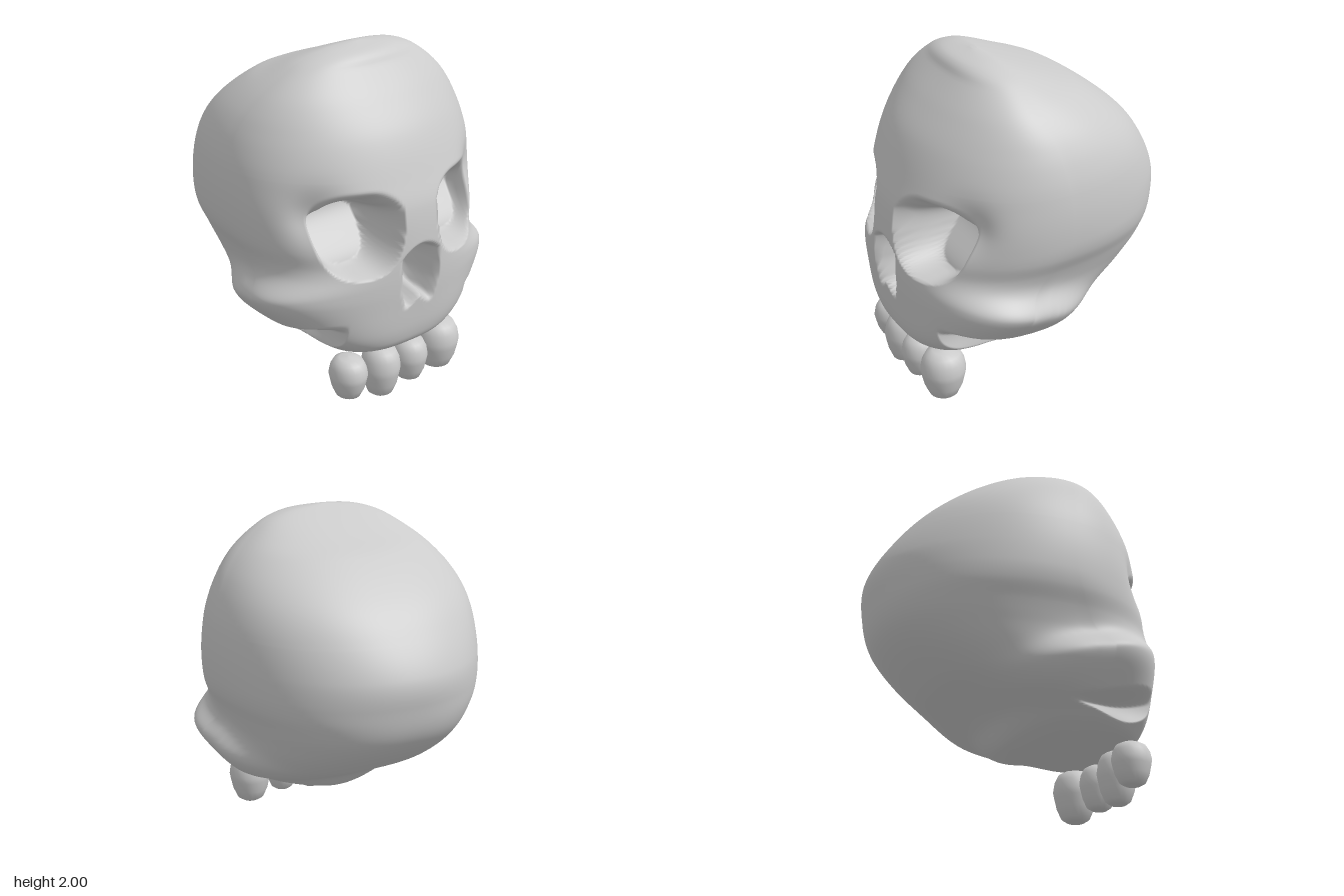
import * as THREE from 'three';

const { lerp, clamp } = THREE.MathUtils;
const ramp = (a, b, v) => {
  const t = clamp((v - a) / (b - a), 0, 1);
  return t * t * (3 - 2 * t);
};

// Smooth curve through [position, value] pairs
function profile(keys) {
  const slope = (i) => {
    const a = keys[Math.max(i - 1, 0)], b = keys[Math.min(i + 1, keys.length - 1)];
    return (b[1] - a[1]) / (b[0] - a[0]);
  };
  return (v) => {
    let i = 0;
    while (i < keys.length - 2 && v > keys[i + 1][0]) i++;
    const [x0, y0] = keys[i], [x1, y1] = keys[i + 1];
    const h = x1 - x0, t = clamp((v - x0) / h, 0, 1), t2 = t * t, t3 = t2 * t;
    return y0 * (2 * t3 - 3 * t2 + 1) + y1 * (3 * t2 - 2 * t3)
      + h * (slope(i) * (t3 - 2 * t2 + t) + slope(i + 1) * (t3 - t2));
  };
}

// Height profiles: half width, front edge, back edge and depth of the widest point
const halfWidth = profile([[0.27, 0.3], [0.285, 0.385], [0.31, 0.44], [0.35, 0.48], [0.42, 0.54], [0.5, 0.585],
  [0.6, 0.625], [0.7, 0.66], [0.8, 0.685], [0.9, 0.72], [1, 0.765], [1.1, 0.785], [1.25, 0.79], [1.4, 0.775],
  [1.5, 0.75], [1.6, 0.71], [1.7, 0.65], [1.8, 0.56], [1.9, 0.43], [1.95, 0.33], [1.985, 0.19], [2, 0.02]]);
const frontZ = profile([[0.27, 0.62], [0.285, 0.71], [0.31, 0.765], [0.4, 0.8], [0.65, 0.83], [0.8, 0.84],
  [1, 0.84], [1.2, 0.82], [1.33, 0.78], [1.58, 0.68], [1.75, 0.56], [1.9, 0.43], [1.97, 0.37], [2, 0.25]]);
const backZ = profile([[0.27, 0.1], [0.3, 0], [0.42, -0.14], [0.6, -0.48], [0.83, -0.75], [1.07, -0.835],
  [1.23, -0.835], [1.46, -0.7], [1.62, -0.55], [1.8, -0.3], [1.86, -0.15], [1.95, 0.08], [2, 0.22]]);
const middleZ = profile([[0.27, 0.3], [0.5, 0.3], [0.7, 0.3], [0.85, 0.2], [1.1, 0.08], [1.6, 0.12],
  [1.85, 0.2], [2, 0.235]]);

// Squareness of the front and back halves (2 is an ellipse)
const frontSquare = profile([[0.27, 2.8], [0.5, 2.7], [0.7, 2.2], [0.9, 2.1], [1.15, 2.15], [1.35, 2.1],
  [1.6, 2.05], [1.85, 2.25], [2, 2.2]]);
const backSquare = profile([[0.27, 2.3], [0.6, 2.6], [0.85, 2.4], [1.2, 2.05], [1.6, 2.35], [2, 2.35]]);

// How far a point lies inside an eye socket, 0 to 1; the brow slopes in, the lower rim is steep
function eyeSocket(x, y) {
  const dy = (y - 1.1) / 0.24;
  const dx = (x - 0.345) / (0.215 + 0.025 * clamp(dy, -1, 0.5));
  const e = (Math.abs(dx) ** 2.8 + Math.abs(dy) ** 2.8) ** (1 / 2.8);
  const inner = lerp(0.88, 0.25, ramp(-0.1, 0.7, dy) * (1 - ramp(0.6, 1.1, Math.abs(dx))));
  return ramp(1.03, inner, e);
}

// Nose opening: pointed top, two lobes at the bottom with a spike between
function noseOpening(x, y) {
  const w = y < 0.93 ? lerp(0.1, 0.135, ramp(0.58, 0.78, y)) : 0.135 * Math.sqrt(clamp((1.01 - y) / 0.08, 0, 1));
  const bottom = 0.68 - 0.08 * Math.min(1, x / 0.085);
  return ramp(0, 0.065, w - x) * ramp(0, 0.05, y - bottom) * ramp(1.01, 0.84, y);
}

// Point on the left half of the skull: a runs from front (0) to back (PI)
function skullPoint(a, y) {
  const s = Math.max(Math.sin(a), 0), c = Math.cos(a), mid = middleZ(y);
  const power = 2 / (c > 0 ? frontSquare(y) : backSquare(y));
  let x = halfWidth(y) * s ** power;
  let z = mid + ((c > 0 ? frontZ(y) : backZ(y)) - mid) * Math.abs(c) ** power;

  // Cheekbone sweeping down to the back, fuller below its ridge
  const d = y - 0.7 - 0.25 * (z - 0.45);
  const spread = d / (d > 0 ? 0.105 : 0.2);
  x *= 1 + 0.19 * Math.exp(-spread * spread) * ramp(-0.4, 0.15, z);

  // Hollow beneath the cheekbone, fading towards the back
  const arch = 0.4 + 0.26 * (z + 0.02);
  const under = ramp(0, 0.07, arch - y) * ramp(-0.06, 0.2, z);
  const jaw = 0.43 + 0.02 * ramp(0.5, 0.3, y) + 0.12 * ramp(0.6, 0.05, z);
  x = lerp(x, Math.min(x, jaw), under);

  // Sockets, their back walls leaning away towards the top, with the outer rims swept back
  if (c > 0) {
    z -= 0.08 * Math.exp(-(((x - 0.55) / 0.12) ** 2) - ((y - 1.2) / 0.14) ** 2);
    const eyeBack = lerp(0.6, 0.4, ramp(0.85, 1.17, y));
    const noseBack = lerp(0.64, 0.5, ramp(0.6, 0.88, y));
    z = lerp(z, Math.min(z, eyeBack), eyeSocket(x, y));
    z = lerp(z, Math.min(z, noseBack), noseOpening(x, y));
  }
  // Underside rises towards the teeth and the sides
  const rise = 0.045 * ramp(0.15, 0.6, z) + 0.06 * ramp(0, 0.45, x) * ramp(0.65, 0.3, z);
  return [x, y + rise * ramp(0.5, 0.27, y), z];
}

function skullGeometry() {
  const front = 84, back = 26, half = front + back, around = half * 2;
  const heights = [];
  for (let i = 0; i < 115; i++) heights.push(lerp(0.27, 1.4, i / 115));
  for (let i = 0; i <= 36; i++) heights.push(1.4 + 0.6 * Math.sin((i / 36) * Math.PI / 2));

  const positions = [], index = [];
  for (const y of heights) {
    for (let j = 0; j < around; j++) {
      const k = j <= half ? j : around - j;
      const a = k <= front ? (k / front) * Math.PI / 2 : (1 + (k - front) / back) * Math.PI / 2;
      const [x, py, z] = skullPoint(a, y);
      positions.push(j <= half ? x : -x, py, z);
    }
  }
  const rows = heights.length;
  const bottom = rows * around, top = bottom + 1, last = (rows - 1) * around;
  positions.push(0, 0.275, 0.3, 0, 2, 0.235);
  for (let j = 0; j < around; j++) {
    const n = (j + 1) % around;
    for (let i = 0; i < rows - 1; i++) {
      const p = i * around, q = p + around;
      index.push(p + j, p + n, q + n, p + j, q + n, q + j);
    }
    index.push(bottom, n, j, top, last + j, last + n);
  }
  const geometry = new THREE.BufferGeometry();
  geometry.setAttribute('position', new THREE.Float32BufferAttribute(positions, 3));
  geometry.setIndex(index);
  geometry.computeVertexNormals();
  return geometry;
}

// Rounded peg of unit height and unit half width
function toothGeometry() {
  const points = [[0, 0], [0.4, 0.015], [0.64, 0.08], [0.84, 0.27], [0.95, 0.48], [1, 0.6], [0.92, 0.78],
    [0.75, 0.92], [0.45, 0.99], [0, 1.01]].map(([r, y]) => new THREE.Vector2(r, y));
  return new THREE.LatheGeometry(points, 20);
}

export function createModel() {
  const group = new THREE.Group();
  group.name = 'skull';
  const material = new THREE.MeshStandardMaterial({ color: 0xcccccc });

  const cranium = new THREE.Mesh(skullGeometry(), material);
  cranium.name = 'cranium';
  group.add(cranium);

  // Uneven teeth: x, bottom, top, half width, z, half depth
  const teeth = new THREE.Group();
  teeth.name = 'teeth';
  const geometry = toothGeometry();
  [
    [-0.352, 0.055, 0.31, 0.108, 0.64, 0.12],
    [-0.14, 0.005, 0.325, 0.115, 0.67, 0.12],
    [0.075, 0.03, 0.305, 0.108, 0.67, 0.115],
    [0.315, 0.015, 0.335, 0.132, 0.645, 0.135],
  ].forEach(([x, low, high, w, z, d], i) => {
    const tooth = new THREE.Mesh(geometry, material);
    tooth.name = `tooth${i + 1}`;
    tooth.position.set(x, low, z);
    tooth.scale.set(w, high - low, d);
    teeth.add(tooth);
  });
  group.add(teeth);
  return group;
}
